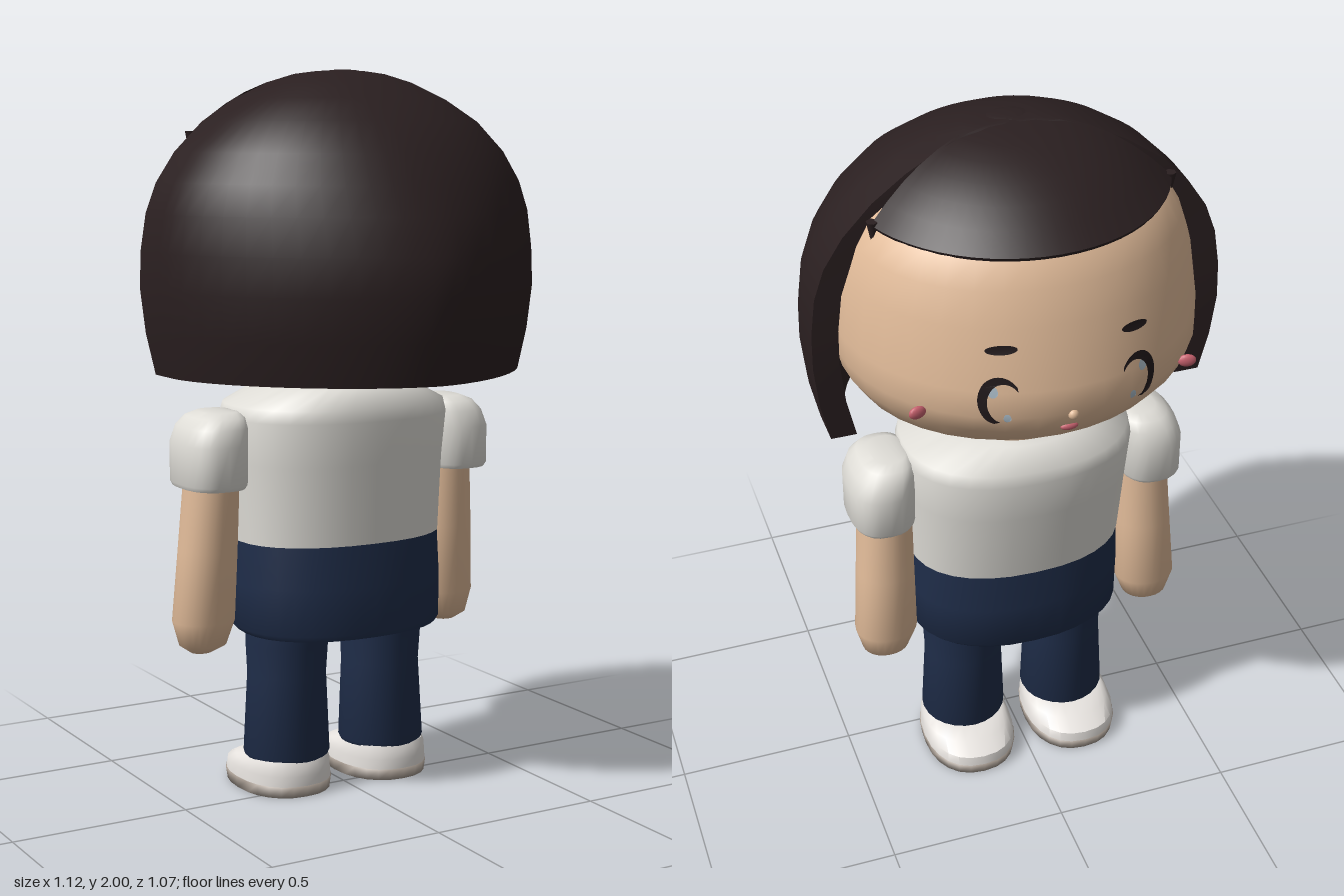
import * as THREE from 'three';
import { toCreasedNormals } from 'three/addons/utils/BufferGeometryUtils.js';

const mat = (name, color, side = THREE.FrontSide) => {
  const m = new THREE.MeshStandardMaterial({ color, side });
  m.name = name;
  return m;
};

// Skin a stack of closed loops; both ends are capped by pairing opposite points.
function skinLoops(loops, crease = 0.8) {
  const n = loops[0].length, last = (loops.length - 1) * n, idx = [];
  for (let j = 0; j < loops.length - 1; j++) {
    for (let i = 0; i < n; i++) {
      const a = j * n + i, b = j * n + (i + 1) % n;
      idx.push(a, a + n, b, b, a + n, b + n);
    }
  }
  for (let i = 0; i < n / 2 - 1; i++) {
    const [a, b, c, d] = [i, i + 1, n - 2 - i, n - 1 - i];
    idx.push(a, b, c, a, c, d);
    idx.push(last + a, last + c, last + b, last + a, last + d, last + c);
  }
  const g = new THREE.BufferGeometry();
  g.setAttribute('position', new THREE.Float32BufferAttribute(loops.flat(2), 3));
  g.setIndex(idx);
  return toCreasedNormals(g, crease);
}

const spow = (v, e) => Math.sign(v) * Math.abs(v) ** e;

// Rings are [y, half width, front z, back z, centre x]; p sets the roundness.
function loft(rings, n = 28, p = 2, crease) {
  return skinLoops(rings.map(([y, rx, zf, zb, cx = 0]) => Array.from({ length: n }, (_, i) => {
    const t = i / n * Math.PI * 2;
    return [cx + rx * spow(Math.cos(t), 2 / p), y,
      (zf + zb) / 2 + (zb - zf) / 2 * spow(Math.sin(t), 2 / p)];
  })), crease);
}

const HEAD = [
  [1.12, 0.18, -0.232, 0.115], [1.2, 0.186, -0.24, 0.12], [1.232, 0.215, -0.262, 0.15],
  [1.262, 0.32, -0.335, 0.25], [1.305, 0.425, -0.434, 0.34], [1.37, 0.465, -0.492, 0.39],
  [1.43, 0.48, -0.522, 0.41], [1.5, 0.482, -0.513, 0.41], [1.66, 0.462, -0.474, 0.37],
  [1.75, 0.43, -0.445, 0.31], [1.82, 0.39, -0.408, 0.26], [1.9, 0.28, -0.32, 0.15],
  [1.96, 0.12, -0.17, 0.05],
];

// Depth of the face surface at (x, y)
function faceZ(x, y) {
  const k = HEAD.findIndex((r) => r[0] > y), a = HEAD[k - 1], b = HEAD[k];
  const f = (y - a[0]) / (b[0] - a[0]);
  const [rx, zf, zb] = [1, 2, 3].map((i) => a[i] + (b[i] - a[i]) * f);
  return (zf + zb) / 2 - (zb - zf) / 2 * Math.sqrt(Math.max(0, 1 - (x / rx) ** 2));
}

// Thin painted detail wrapped on the face
function decal(shape, side, lift) {
  const g = new THREE.ShapeGeometry(shape, 16), p = g.attributes.position;
  for (let i = 0; i < p.count; i++) {
    const x = p.getX(i), y = p.getY(i);
    p.setXYZ(i, x * side, y, faceZ(x, y) - lift);
  }
  g.computeVertexNormals();
  return g;
}

// Back hair: C-shaped sections, rings are [y, half width, back z, front z, section exponent]
function backHair() {
  const rings = [
    [1.188, 0.52, 0.49, -0.11, 1.2], [1.3, 0.545, 0.515, -0.115, 1.2], [1.42, 0.558, 0.533, -0.12, 1.2],
    [1.52, 0.556, 0.525, -0.117, 1.2], [1.62, 0.542, 0.487, -0.112, 1.15], [1.7, 0.513, 0.445, -0.108, 1.1],
    [1.78, 0.46, 0.395, -0.105, 1.05], [1.86, 0.38, 0.322, -0.1, 1], [1.92, 0.29, 0.24, -0.09, 1],
    [1.965, 0.195, 0.155, -0.075, 1], [1.988, 0.12, 0.085, -0.06, 1], [1.996, 0.06, 0.04, -0.045, 1],
  ];
  const n = 26;
  return skinLoops(rings.map(([y, a, b, zf, e]) => {
    const path = (w, d) => {
      const pts = [[w, y, zf]];
      for (let i = 0; i <= n; i++) {
        const t = i / n * Math.PI;
        pts.push([w * spow(Math.cos(t), e), y, d * Math.abs(Math.sin(t)) ** e]);
      }
      pts.push([-w, y, zf]);
      return pts;
    };
    return [...path(a, b), ...path(Math.max(a - 0.07, 0.005), Math.max(b - 0.07, 0.005)).reverse()];
  }), 0.8);
}

// Fringe: a sector of a dome with a short turned-in lip
function fringe() {
  const rows = [0.001, 0.08, 0.15, 0.21, 0.27, 0.32, 0.37, 0.42].map((r) => [r, 1.995 - 0.17 * (r / 0.42) ** 2.5]);
  rows.push([0.415, 1.815], [0.36, 1.815]);
  const n = 24, pos = [], idx = [];
  rows.forEach(([r, y], j) => {
    for (let i = 0; i <= n; i++) {
      const t = (i / n * 2 - 1) * 1.23;
      pos.push(r * Math.sin(t), y, -r * Math.cos(t));
      if (j && i) {
        const c = j * (n + 1) + i, u = c - n - 1;
        idx.push(u - 1, c - 1, u, u, c - 1, c);
      }
    }
  });
  const g = new THREE.BufferGeometry();
  g.setAttribute('position', new THREE.Float32BufferAttribute(pos, 3));
  g.setIndex(idx);
  return toCreasedNormals(g, 0.8);
}

export function createModel() {
  const root = new THREE.Group();
  root.name = 'child';
  const skin = mat('skin', 0xe1bb99);
  const hair = mat('hair', 0x2a1f20, THREE.DoubleSide);
  const shirt = mat('shirt', 0xdfddd7);
  const navy = mat('navy', 0x1f2d49);
  const shoe = mat('shoe', 0xe8e4e0);
  const sole = mat('sole', 0xa89d93);
  const pink = mat('pink', 0xc9626f);
  const ink = mat('ink', 0x20181a, THREE.DoubleSide);
  const glint = mat('glint', 0xa9bac6, THREE.DoubleSide);

  const add = (name, geo, material) => {
    const m = new THREE.Mesh(geo, material);
    m.name = name;
    root.add(m);
    return m;
  };
  const blob = (name, material, pos, scale) => {
    const m = add(name, new THREE.SphereGeometry(1, 16, 10), material);
    m.position.set(...pos);
    m.scale.set(...scale);
    return m;
  };

  // Head and hair
  add('head', loft(HEAD, 36, 2, 1.3), skin);
  add('backHair', backHair(), hair);
  add('fringe', fringe(), hair);
  blob('crown', hair, [0, 1.99, 0], [0.065, 0.01, 0.04]);
  blob('nose', skin, [0, 1.425, -0.52], [0.014, 0.014, 0.012]);
  blob('mouth', pink, [0, 1.372, -0.492], [0.024, 0.011, 0.01]);

  // Torso
  add('shirtBody', loft([
    [0.72, 0.303, -0.268, 0.17], [0.94, 0.315, -0.298, 0.182], [1.06, 0.325, -0.312, 0.195],
    [1.095, 0.315, -0.306, 0.192], [1.155, 0.19, -0.262, 0.165],
  ], 32, 2.3, 1.2), shirt);
  add('shorts', loft([
    [0.46, 0.29, -0.258, 0.178], [0.475, 0.303, -0.27, 0.182], [0.6, 0.305, -0.27, 0.178],
    [0.72, 0.301, -0.267, 0.169],
  ], 32, 2.3), navy);

  for (const s of [1, -1]) {
    const side = s > 0 ? 'left' : 'right';
    const limb = (name, rings, material, p = 2, crease = 0.9) =>
      add(side + name, loft(rings.map(([y, rx, zf, zb, cx]) => [y, rx, zf, zb, cx * s]), 24, p, crease), material);

    // Arms
    limb('Sleeve', [
      [0.88, 0.084, -0.184, 0.056, 0.388], [0.892, 0.09, -0.192, 0.064, 0.388],
      [1.0, 0.091, -0.192, 0.064, 0.387], [1.045, 0.084, -0.182, 0.054, 0.378],
      [1.072, 0.07, -0.16, 0.035, 0.368], [1.085, 0.048, -0.13, 0.0, 0.36],
    ], shirt, 2.6);
    limb('Arm', [
      [0.41, 0.03, -0.125, -0.07, 0.4], [0.432, 0.066, -0.155, -0.035, 0.396],
      [0.5, 0.088, -0.175, -0.018, 0.392], [0.7, 0.081, -0.165, 0.0, 0.384],
      [0.9, 0.074, -0.155, 0.012, 0.376],
    ], skin, 2.1, 1.1);

    // Legs and shoes
    limb('Leg', [
      [0.095, 0.117, -0.172, 0.062, 0.155], [0.105, 0.122, -0.176, 0.066, 0.155],
      [0.33, 0.112, -0.165, 0.052, 0.153], [0.42, 0.116, -0.172, 0.062, 0.153],
      [0.5, 0.116, -0.172, 0.062, 0.153],
    ], navy);
    limb('Sole', [
      [0, 0.13, -0.27, 0.07, 0.158], [0.032, 0.134, -0.276, 0.075, 0.158],
    ], sole, 2.3, 2);
    limb('Shoe', [
      [0.032, 0.132, -0.274, 0.074, 0.158], [0.06, 0.13, -0.27, 0.073, 0.158],
      [0.082, 0.124, -0.22, 0.069, 0.158], [0.1, 0.114, -0.17, 0.06, 0.157],
    ], shoe, 2.3);

    // Eye crescent, glints and brow
    const lash = new THREE.Shape();
    lash.absellipse(0.18, 1.48, 0.052, 0.066, -1.3, 2.5, false);
    lash.absellipse(0.17, 1.475, 0.041, 0.053, 2.5, -1.3, true);
    add(side + 'Eye', decal(lash, s, 0.009), ink);
    for (const [x, y, r] of [[0.196, 1.506, 0.012], [0.165, 1.435, 0.009]]) {
      add(side + 'EyeGlint', decal(new THREE.Shape().absellipse(x, y, r, r * 1.3, 0, Math.PI * 2), s, 0.007), glint);
    }
    const brow = new THREE.Shape().absellipse(0.172, 1.62, 0.038, 0.012, 0, Math.PI * 2, false, -0.08);
    add(side + 'Brow', decal(brow, s, 0.02), ink);
    blob(side + 'Blush', pink, [0.36 * s, 1.42, -0.383], [0.024, 0.018, 0.01]).rotation.y = 0.2 * s;

    // Loose lock at the end of the fringe
    const lock = add(side + 'Lock', new THREE.ConeGeometry(0.016, 0.08, 6), hair);
    lock.position.set(0.392 * s, 1.795, -0.142);
    lock.rotation.x = Math.PI;
  }
  return root;
}
